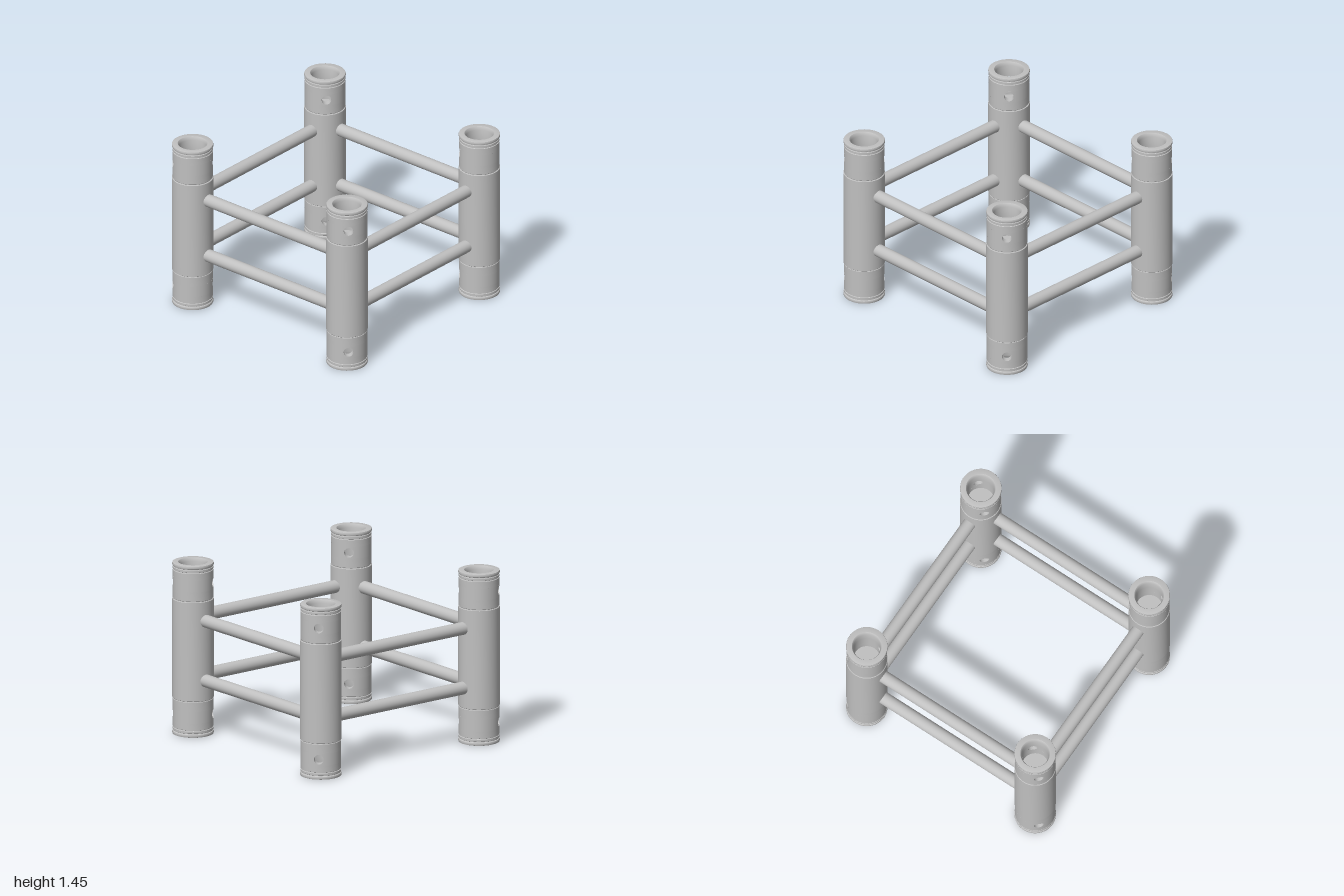
import * as THREE from 'three';
import { toCreasedNormals } from 'three/addons/utils/BufferGeometryUtils.js';

const aluminium = new THREE.MeshStandardMaterial({ color: 0xc0c0c0, side: THREE.DoubleSide });
aluminium.name = 'aluminium';

const POST = 0.83;          // post centre offset in x and z
const HEIGHT = 1.45;
const OUTER = 0.166, INNER = 0.11;   // coupler radii
const HOLE = 0.04, HOLE_Y = 0.13, BAND = 0.05, SPAN = 0.5; // pin hole and the band around it

function add(parent, name, geometry) {
  const mesh = new THREE.Mesh(geometry, aluminium);
  mesh.name = name;
  parent.add(mesh);
  return mesh;
}

function lathe(points) {
  const profile = points.map(([r, y]) => new THREE.Vector2(r, y));
  return toCreasedNormals(new THREE.LatheGeometry(profile, 48), 0.5);
}

// Ring bent onto a cylinder: round hole inside, rectangular edge outside
function holePatch(radius) {
  const g = new THREE.RingGeometry(1, 2, 48, 4);
  const p = g.attributes.position, n = g.attributes.normal;
  for (let i = 0; i < p.count; i++) {
    const rho = Math.hypot(p.getX(i), p.getY(i));
    const c = p.getX(i) / rho, s = p.getY(i) / rho, t = rho - 1;
    const m = Math.max(Math.abs(c), Math.abs(s));
    const angle = THREE.MathUtils.lerp(Math.asin(HOLE * c / radius), SPAN * c / m, t);
    const y = THREE.MathUtils.lerp(HOLE * s, BAND * s / m, t);
    p.setXYZ(i, radius * Math.sin(angle), y, radius * Math.cos(angle));
    n.setXYZ(i, Math.sin(angle), 0, Math.cos(angle));
  }
  return g;
}

// Pin bore joining the outer and inner walls
function boreGeometry() {
  const g = new THREE.CylinderGeometry(HOLE, HOLE, 1, 48, 1, true).rotateX(Math.PI / 2);
  const p = g.attributes.position;
  for (let i = 0; i < p.count; i++) {
    const r = p.getZ(i) > 0 ? OUTER : INNER;
    p.setZ(i, Math.sqrt(r * r - p.getX(i) ** 2));
  }
  return g;
}

const couplerBase = lathe([
  [0.16, -0.01], [0.16, 0], [0.164, 0], [OUTER, 0.003], [OUTER, HOLE_Y - BAND],
]);
const couplerFloor = lathe([[INNER, HOLE_Y - BAND], [INNER, 0], [0, 0]]);
// Grooved ring, rounded lip and chamfered mouth
const couplerRim = lathe([
  [OUTER, HOLE_Y + BAND], [OUTER, 0.237], [0.16, 0.24], [0.16, 0.244], [OUTER, 0.247],
  [OUTER, 0.264], [0.161, 0.267], [0.161, 0.271], [0.168, 0.275], [0.17, 0.281],
  [0.17, 0.292], [0.168, 0.298], [0.163, 0.3], [0.122, 0.3], [0.119, 0.297],
  [INNER, 0.27], [INNER, HOLE_Y + BAND],
]);
const bore = boreGeometry();
const walls = [OUTER, INNER].map((r) => ({
  patch: holePatch(r),
  side: new THREE.CylinderGeometry(r, r, 2 * BAND, 24, 1, true, SPAN, Math.PI - 2 * SPAN),
}));

function makeCoupler(name) {
  const coupler = new THREE.Group();
  coupler.name = name;
  add(coupler, 'couplerBase', couplerBase);
  add(coupler, 'couplerFloor', couplerFloor);
  add(coupler, 'couplerRim', couplerRim);
  for (const turn of [0, Math.PI]) {
    const half = new THREE.Group();
    half.name = 'pinHoleHalf';
    half.position.y = HOLE_Y;
    half.rotation.y = turn;
    for (const { patch, side } of walls) {
      add(half, 'pinHoleWall', patch);
      add(half, 'sideWall', side);
    }
    add(half, 'pinBore', bore);
    coupler.add(half);
  }
  return coupler;
}

export function createModel() {
  const model = new THREE.Group();
  model.name = 'trussFrame';

  const tube = lathe([
    [0, 0.305], [0.167, 0.305], [0.17, 0.308], [0.17, 1.142], [0.167, 1.145], [0.0, 1.145],
  ]);
  for (const sx of [-1, 1]) {
    for (const sz of [-1, 1]) {
      const post = new THREE.Group();
      post.name = 'cornerPost';
      post.position.set(sx * POST, 0, sz * POST);
      post.rotation.y = Math.atan2(sx, sz);  // pin holes point along the diagonal
      add(post, 'postTube', tube);
      const top = makeCoupler('topCoupler');
      top.position.y = HEIGHT - 0.3;
      const bottom = makeCoupler('bottomCoupler');
      bottom.position.y = 0.3;
      bottom.rotation.x = Math.PI;
      post.add(top, bottom);
      model.add(post);
    }
  }

  // Two rungs on each of the four sides
  const rung = new THREE.CylinderGeometry(0.053, 0.053, 1.34, 32, 1, true).rotateZ(Math.PI / 2);
  for (const y of [0.475, 0.98]) {
    for (const s of [-1, 1]) {
      add(model, 'crossRung', rung).position.set(0, y, s * POST);
      const sideRung = add(model, 'sideRung', rung);
      sideRung.position.set(s * POST, y, 0);
      sideRung.rotation.y = Math.PI / 2;
    }
  }
  return model;
}
